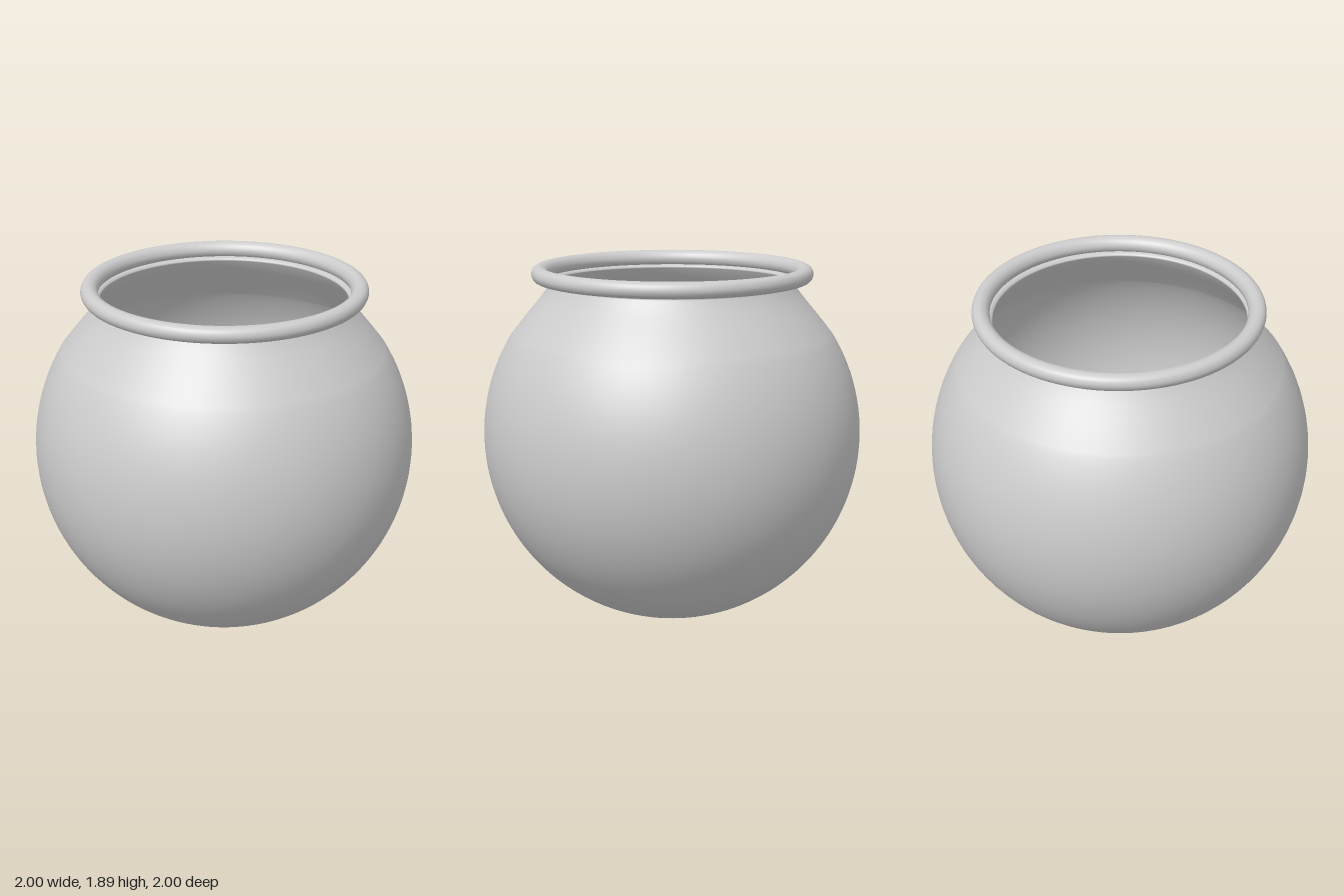
import * as THREE from 'three';

const SEGMENTS = 96;

// Smooth curve through [radius, height] pairs, sampled for a lathe
function smooth(pairs, samples, closed = false) {
  const curve = new THREE.CatmullRomCurve3(
    pairs.map(([r, y]) => new THREE.Vector3(r, y, 0)), closed, 'centripetal');
  return curve.getPoints(samples).map((p) => new THREE.Vector2(p.x, p.y));
}

function turned(name, points) {
  const mesh = new THREE.Mesh(
    new THREE.LatheGeometry(points, SEGMENTS),
    new THREE.MeshStandardMaterial({ color: 0xcccccc, side: THREE.DoubleSide }));
  mesh.name = name;
  return mesh;
}

export function createModel() {
  const group = new THREE.Group();
  group.name = 'bowl';

  // Thin round body: a ball profile from the base up to the shoulder
  const profile = [];
  const shoulder = Math.asin(0.53);
  const steps = 48;
  for (let i = 0; i < steps; i++) {
    const a = -Math.PI / 2 + (i / steps) * (shoulder + Math.PI / 2);
    profile.push(new THREE.Vector2(Math.max(0, Math.cos(a)), 1 + Math.sin(a)));
  }
  // Neck: draws in, then curls out under the rim
  profile.push(...smooth([
    [0.848, 1.53], [0.797, 1.595], [0.752, 1.65], [0.71, 1.7], [0.67, 1.75],
    [0.643, 1.79], [0.637, 1.803], [0.65, 1.814], [0.685, 1.817],
  ], 32));
  group.add(turned('body', profile));

  // Rolled rim with a slightly squared, rounded section
  const rim = turned('rim', smooth([
    [0.685, 1.813], [0.717, 1.82], [0.733, 1.85], [0.722, 1.882],
    [0.69, 1.895], [0.658, 1.882], [0.643, 1.85], [0.655, 1.82],
  ], 32, true));
  rim.position.z = -0.005;
  group.add(rim);

  return group;
}
